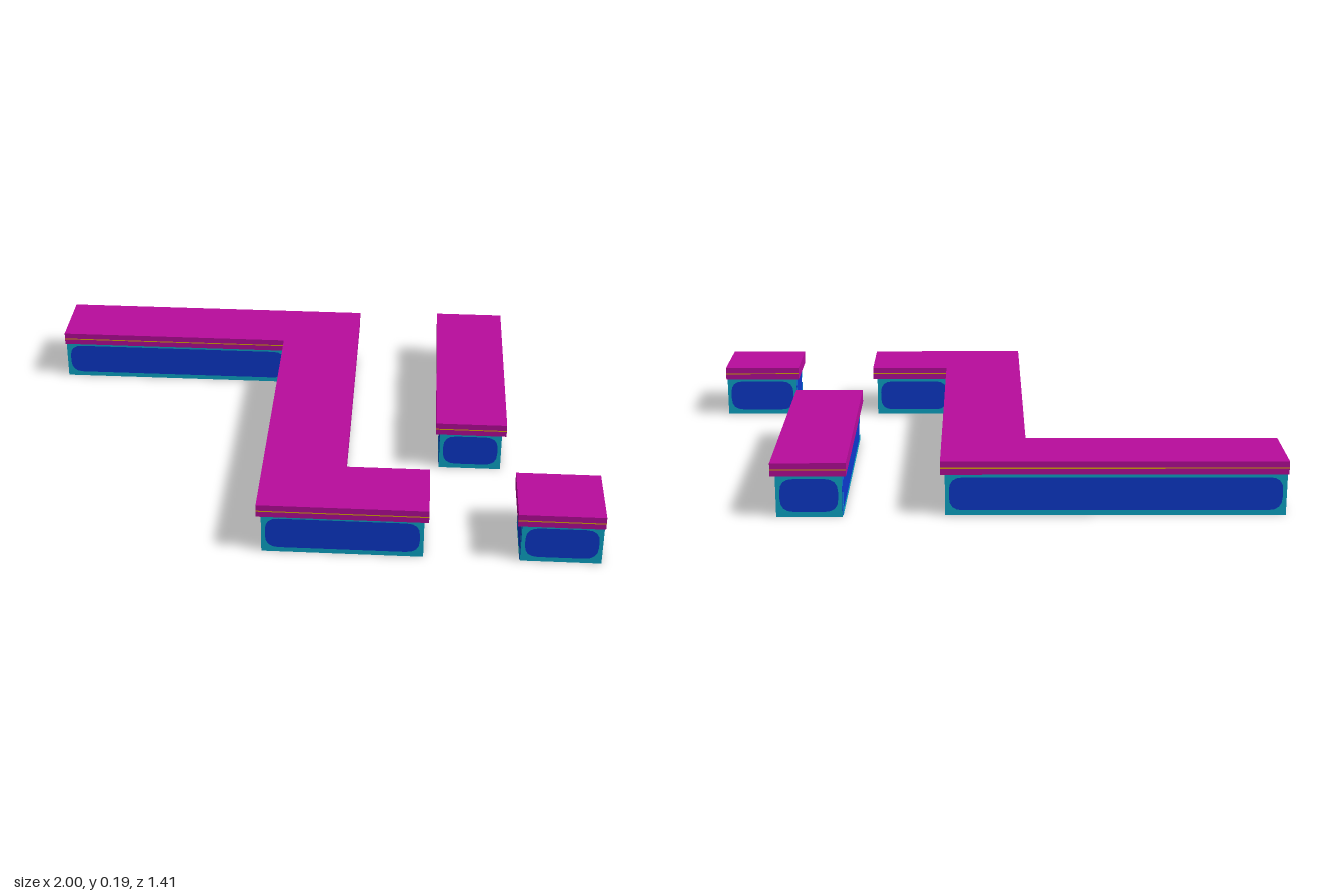
import * as THREE from 'three';

const material = (name, color) => {
  const m = new THREE.MeshStandardMaterial({ color });
  m.name = name;
  return m;
};

const BASE_H = 0.145, TOP = 0.19, LIFT = 0.002;

// Footprints in (x, z), clockwise when seen from above
const rect = (x0, z0, x1, z1) => [[x0, z0], [x1, z0], [x1, z1], [x0, z1]];
const SECTIONS = [
  {
    name: 'zigzagCounter',
    base: [[-0.998, -0.675], [0.125, -0.675], [0.125, 0.47], [0.41, 0.47],
      [0.41, 0.69], [-0.13, 0.69], [-0.13, -0.455], [-0.998, -0.455]],
    slab: [[-1, -0.69], [0.14, -0.69], [0.14, 0.45], [0.425, 0.45],
      [0.425, 0.705], [-0.145, 0.705], [-0.145, -0.44], [-1, -0.44]],
  },
  { name: 'longCounter', base: rect(0.46, -0.69, 0.68, 0.13), slab: rect(0.445, -0.705, 0.695, 0.145) },
  { name: 'endCounter', base: rect(0.73, 0.47, 0.998, 0.69), slab: rect(0.715, 0.45, 1, 0.705) },
];

// Upright prism over a footprint
function prism(points, y0, y1) {
  const shape = new THREE.Shape(points.map(([x, z]) => new THREE.Vector2(x, -z)));
  return new THREE.ExtrudeGeometry(shape, { depth: y1 - y0, bevelEnabled: false })
    .rotateX(-Math.PI / 2).translate(0, y0, 0);
}

// Flat border with a round-cornered opening, centred on x
function frameGeometry(w, h) {
  const s = new THREE.Shape();
  s.moveTo(-w / 2, 0).lineTo(w / 2, 0).lineTo(w / 2, h).lineTo(-w / 2, h).closePath();
  const a = w / 2 - 0.013, b = 0.017, t = h - 0.014, r = 0.045;
  const hole = new THREE.Path();
  hole.moveTo(-a + r, b).lineTo(a - r, b).quadraticCurveTo(a, b, a, b + r)
    .lineTo(a, t - r).quadraticCurveTo(a, t, a - r, t)
    .lineTo(-a + r, t).quadraticCurveTo(-a, t, -a, t - r)
    .lineTo(-a, b + r).quadraticCurveTo(-a, b, -a + r, b);
  s.holes.push(hole);
  return new THREE.ShapeGeometry(s, 4);
}

// Visit each footprint edge with its length, midpoint and outward normal
function eachSide(points, visit) {
  points.forEach(([x0, z0], i) => {
    const [x1, z1] = points[(i + 1) % points.length];
    const len = Math.hypot(x1 - x0, z1 - z0);
    visit(len, (x0 + x1) / 2, (z0 + z1) / 2, (z1 - z0) / len, -(x1 - x0) / len);
  });
}

export function createModel() {
  const blue = material('panel blue', 0x0c3ad0);
  const cyan = material('frame cyan', 0x0caacc);
  const magenta = material('countertop magenta', 0xb80c9c);
  const yellow = material('stripe yellow', 0xe8b010);
  const model = new THREE.Group();
  model.name = 'counters';

  for (const { name, base, slab } of SECTIONS) {
    const group = new THREE.Group();
    group.name = name;
    const add = (part, geometry, mat) => {
      const mesh = new THREE.Mesh(geometry, mat);
      mesh.name = part;
      group.add(mesh);
      return mesh;
    };
    add('base', prism(base, 0, BASE_H), blue);
    add('countertop', prism(slab, BASE_H, TOP), magenta);

    // Panel frame on every side of the base
    eachSide(base, (len, x, z, nx, nz) => {
      const frame = add('panelFrame', frameGeometry(len, BASE_H), cyan);
      frame.position.set(x + nx * LIFT, 0, z + nz * LIFT);
      frame.rotation.y = Math.atan2(nx, nz);
    });

    // Thin stripe on the front and back edges of the countertop
    eachSide(slab, (len, x, z, nx, nz) => {
      if (Math.abs(nz) < 0.5) return;
      const stripe = add('edgeStripe', new THREE.PlaneGeometry(len, 0.004), yellow);
      stripe.position.set(x, 0.168, z + nz * LIFT);
      stripe.rotation.y = Math.atan2(nx, nz);
    });
    model.add(group);
  }
  return model;
}
